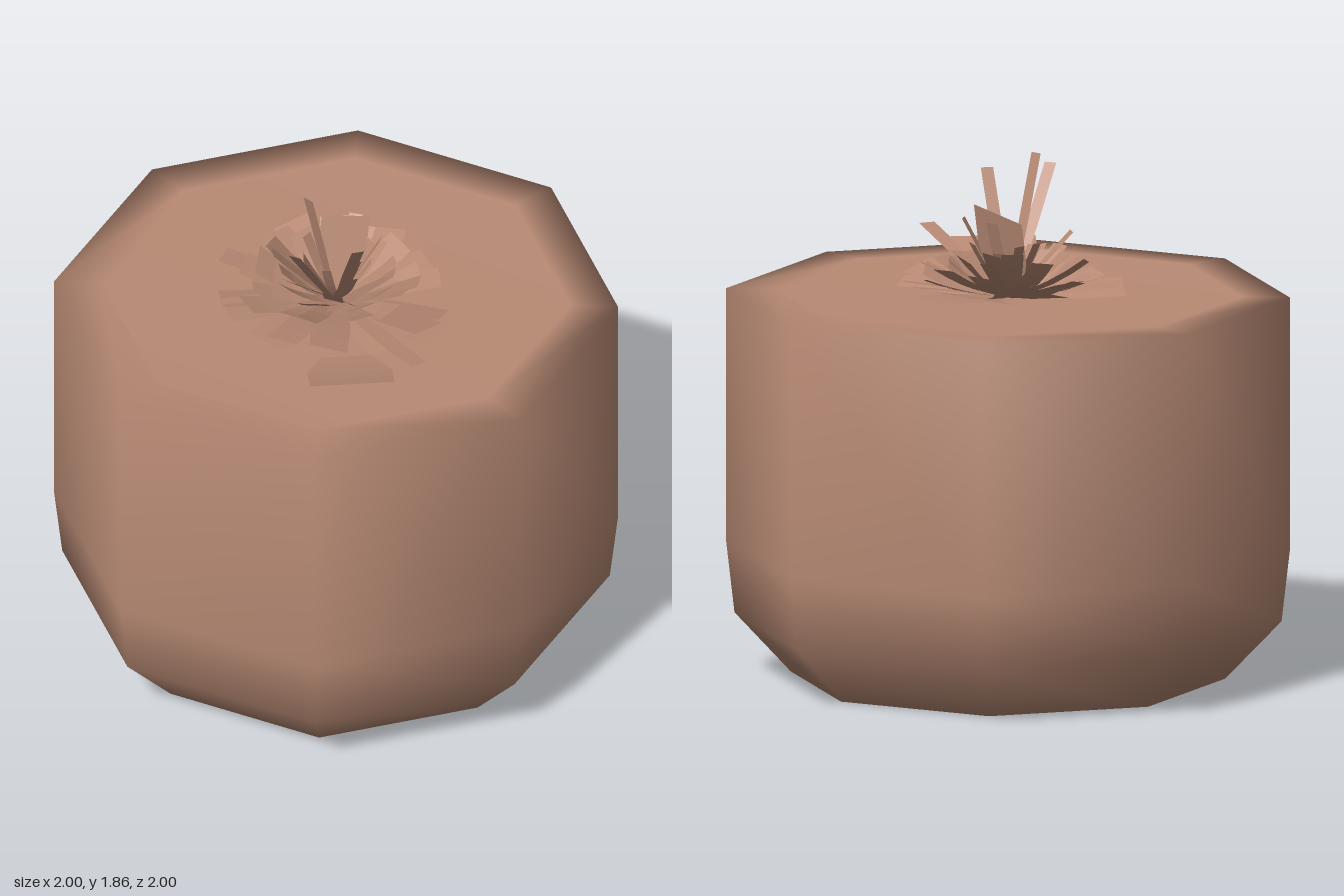
import * as THREE from 'three';
import { mergeGeometries } from 'three/addons/utils/BufferGeometryUtils.js';

const COLOR = 0xb88a74;
const SOIL_Y = 1.36;

// Small seeded generator so the foliage is always the same
function seeded(seed) {
  return () => {
    seed = (seed * 16807) % 2147483647;
    return seed / 2147483647;
  };
}

// Square-ended ribbon running from the heart of the plant to its tip
function blade([x, y, z], width, { start = 0.1, bend = 0, roll = 0 } = {}) {
  const base = new THREE.Vector3(x * start, SOIL_Y + (y - SOIL_Y) * start * 0.5, z * start);
  const tip = new THREE.Vector3(x, y, z);
  const mid = base.clone().lerp(tip, 0.5);
  mid.y += bend;
  const curve = new THREE.QuadraticBezierCurve3(base, mid, tip);
  const out = new THREE.Vector3(x, 0, z).normalize();
  const side = new THREE.Vector3(-out.z, Math.sin(roll), out.x).normalize();
  const geometry = new THREE.PlaneGeometry(1, 1, 1, 4);
  const pos = geometry.attributes.position;
  for (let i = 0; i < pos.count; i++) {
    const t = pos.getY(i) + 0.5;
    const p = curve.getPoint(t);
    // Slightly narrower where it leaves the stem
    p.addScaledVector(side, pos.getX(i) * width * (0.6 + 0.4 * Math.min(1, t * 2)));
    pos.setXYZ(i, p.x, p.y, p.z);
  }
  geometry.computeVertexNormals();
  return geometry;
}

export function createModel() {
  const model = new THREE.Group();
  model.name = 'pottedPlant';

  // Eight-sided pot with flat rim and a nearly level soil surface
  const profile = [
    [0, 0], [0.77, 0], [0.97, 0.21], [1, 0.47], [1, 1.375],
    [0.83, 1.375], [0.83, SOIL_Y], [0, SOIL_Y],
  ].map(([r, y]) => new THREE.Vector2(r, y));
  const pot = new THREE.Mesh(
    new THREE.LatheGeometry(profile, 8),
    new THREE.MeshStandardMaterial({ color: COLOR }),
  );
  pot.name = 'pot';
  model.add(pot);

  const plant = new THREE.Group();
  plant.name = 'plant';
  model.add(plant);
  const leafMaterial = new THREE.MeshStandardMaterial({
    color: COLOR, flatShading: true, side: THREE.DoubleSide,
  });
  const addLeaves = (name, list) => {
    const mesh = new THREE.Mesh(mergeGeometries(list), leafMaterial);
    mesh.name = name;
    plant.add(mesh);
  };

  // Rosette: wide low leaves outside, narrow steep ones inside
  const random = seeded(4711);
  const rings = [
    { name: 'outerLeaves', count: 16, reach: 0.39, tip: 1.41, width: 0.12, bend: 0.01 },
    { name: 'middleLeaves', count: 15, reach: 0.32, tip: 1.47, width: 0.1, bend: -0.02 },
    { name: 'innerLeaves', count: 13, reach: 0.23, tip: 1.52, width: 0.09, bend: -0.03 },
    { name: 'heartLeaves', count: 10, reach: 0.13, tip: 1.56, width: 0.05, bend: -0.02 },
  ];
  rings.forEach(({ name, count, reach, tip, width, bend }, k) => {
    const leaves = [];
    for (let i = 0; i < count; i++) {
      const a = ((i + k * 0.4 + random() * 0.6) / count) * Math.PI * 2;
      const r = reach * (0.85 + random() * 0.25);
      const y = tip + (random() - 0.5) * 0.08;
      leaves.push(blade([Math.sin(a) * r, y, Math.cos(a) * r], width * (0.65 + random() * 0.7),
        { bend, roll: (random() - 0.5) * 0.6 }));
    }
    addLeaves(name, leaves);
  });

  // Broad leaves that reach out or stand up among the others
  addLeaves('broadLeaves', [
    blade([0.11, 1.455, 0.65], 0.3, { start: 0.6, bend: -0.01 }),
    blade([0.08, 1.42, -0.36], 0.3, { start: 0.3, roll: 0.1 }),
    blade([0.38, 1.4, 0.24], 0.18, { start: 0.3 }),
    blade([-0.28, 1.5, -0.02], 0.12, { bend: -0.03, roll: 0.3 }),
    blade([-0.24, 1.46, -0.24], 0.14, { start: 0.2 }),
    blade([0.03, 1.67, -0.07], 0.2, { roll: 0.3 }),
    blade([-0.06, 1.5, 0.16], 0.26, { roll: 0.1 }),
    blade([0.12, 1.49, 0.14], 0.24, { roll: -0.2 }),
  ]);

  // Long narrow spikes
  addLeaves('spikes', [
    blade([-0.12, 1.78, 0.35], 0.045),
    blade([-0.09, 1.86, 0.11], 0.045),
    blade([0.1, 1.77, 0.29], 0.045),
    blade([0.34, 1.51, 0.59], 0.06),
    blade([0.27, 1.47, 0.48], 0.05),
    blade([0.16, 1.64, 0.02], 0.045),
    blade([0.05, 1.64, -0.28 * 0.3], 0.05),
    blade([-0.22, 1.59, 0.06], 0.06),
    blade([0.05, 1.53, -0.28], 0.05),
    blade([0.3, 1.5, -0.1], 0.05),
  ]);

  return model;
}
